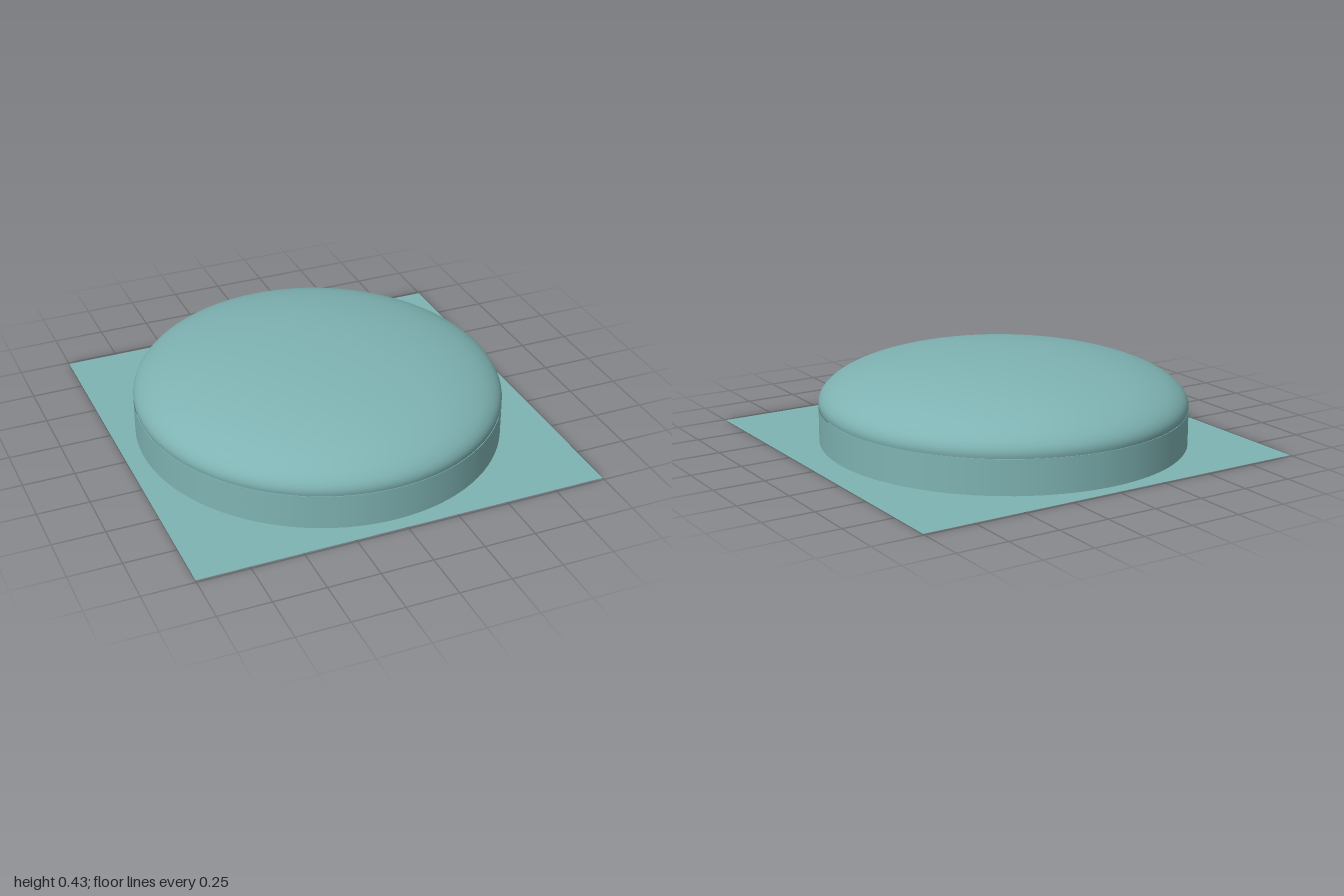
import * as THREE from 'three';

const CENTER_X = -0.025, RX = 0.885, RZ = 0.915;
const WALL_TOP = 0.17, DOME_MID = 0.19, DOME_TOP = 0.43;

export function createModel() {
  const model = new THREE.Group();
  const material = new THREE.MeshStandardMaterial({ color: 0x7fb3b3, side: THREE.DoubleSide });

  const add = (name, geometry, parent) => {
    const mesh = new THREE.Mesh(geometry, material);
    mesh.name = name;
    parent.add(mesh);
    return mesh;
  };

  // Thin square base sheet
  const sheet = add('baseSheet', new THREE.PlaneGeometry(2, 1.975).rotateX(-Math.PI / 2), model);
  sheet.position.y = 0.001;

  // Oval body: unit-radius parts stretched to the oval footprint
  const body = new THREE.Group();
  body.name = 'ovalBody';
  body.position.x = CENTER_X;
  body.scale.set(RX, 1, RZ);
  model.add(body);

  // Straight side wall
  const wall = new THREE.CylinderGeometry(1, 1, WALL_TOP, 96, 1, true);
  add('sideWall', wall.translate(0, WALL_TOP / 2, 0), body);

  // Narrow rim under the wall
  add('bottomRim', new THREE.RingGeometry(0.985, 1, 96).rotateX(Math.PI / 2), body);

  // Shallow dome, beginning just below its widest level
  const height = DOME_TOP - DOME_MID;
  const start = Math.asin((WALL_TOP - DOME_MID) / height);
  const profile = [];
  for (let i = 0; i <= 32; i++) {
    const a = start + (Math.PI / 2 - start) * (i / 32);
    profile.push(new THREE.Vector2(Math.max(0, Math.cos(a)), DOME_MID + height * Math.sin(a)));
  }
  add('dome', new THREE.LatheGeometry(profile, 96), body);

  return model;
}
